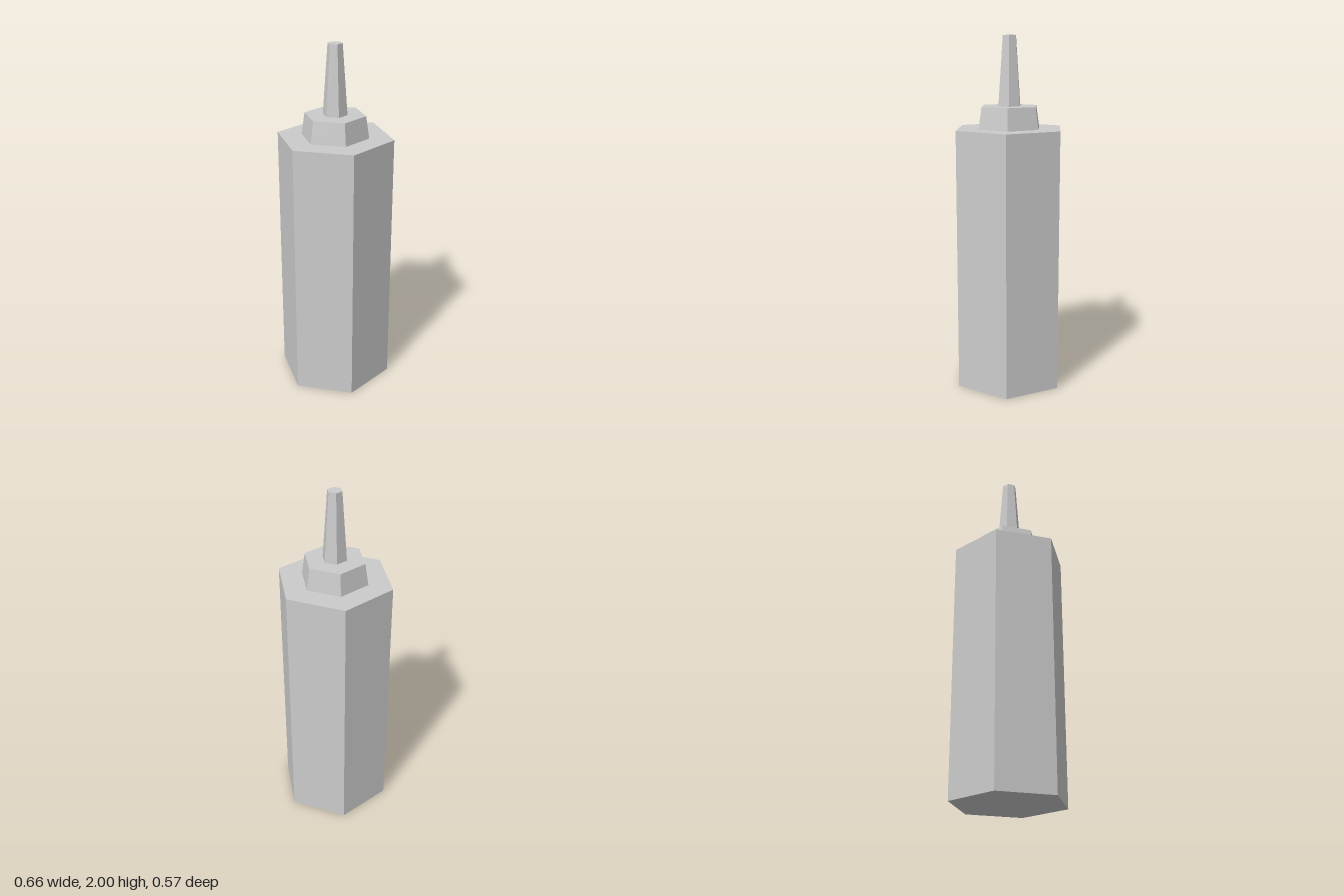
import * as THREE from 'three';

const material = new THREE.MeshStandardMaterial({ color: 0xcccccc, flatShading: true });

// Six-sided tapered section standing between two heights, corners on the x axis
function hexSection(name, bottomRadius, topRadius, y0, y1) {
  const geometry = new THREE.CylinderGeometry(topRadius, bottomRadius, y1 - y0, 6, 1, false, Math.PI / 6);
  const mesh = new THREE.Mesh(geometry, material);
  mesh.name = name;
  mesh.position.y = (y0 + y1) / 2;
  return mesh;
}

export function createModel() {
  const group = new THREE.Group();
  group.name = 'squeezeBottle';
  group.add(
    hexSection('body', 0.329, 0.329, 0, 1.488),
    hexSection('cap', 0.191, 0.172, 1.488, 1.612),
    hexSection('nozzle', 0.069, 0.041, 1.612, 2),
  );
  return group;
}
